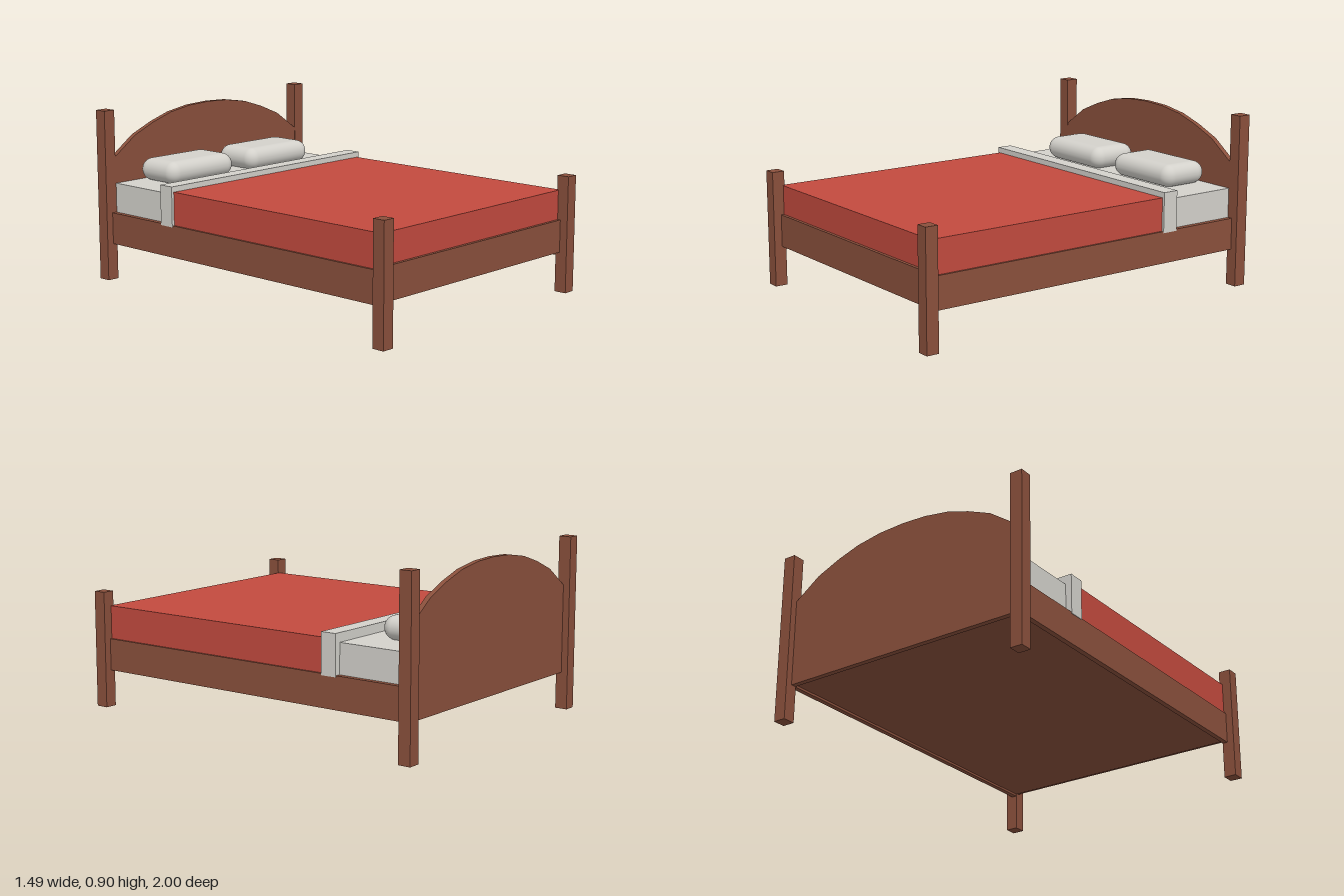
import * as THREE from 'three';
import { RoundedBoxGeometry } from 'three/addons/geometries/RoundedBoxGeometry.js';

export function createModel() {
  const material = (name, color) => {
    const m = new THREE.MeshStandardMaterial({ color });
    m.name = name;
    return m;
  };
  const wood = material('brown wood', 0x8a503c);
  const red = material('red blanket', 0xc24a3e);
  const linen = material('white linen', 0xd3d1cb);

  const bed = new THREE.Group();
  bed.name = 'bed';

  const add = (name, geometry, mat) => {
    const mesh = new THREE.Mesh(geometry, mat);
    mesh.name = name;
    bed.add(mesh);
    return mesh;
  };
  // Box given by its limits on each axis
  const box = (name, mat, [x0, x1], [y0, y1], [z0, z1]) =>
    add(name, new THREE.BoxGeometry(x1 - x0, y1 - y0, z1 - z0), mat)
      .position.set((x0 + x1) / 2, (y0 + y1) / 2, (z0 + z1) / 2);

  // Corner posts, side rails and pillows, mirrored
  for (const [side, s] of [['left', 1], ['right', -1]]) {
    const span = (a, b) => (s > 0 ? [a, b] : [-b, -a]);
    box(side + 'FrontPost', wood, span(0.677, 0.743), [0, 0.61], [0.933, 1]);
    box(side + 'BackPost', wood, span(0.677, 0.743), [0, 0.905], [-1, -0.933]);
    box(side + 'SideRail', wood, span(0.678, 0.705), [0.193, 0.36], [-0.95, 0.95]);

    const pillow = add(side + 'Pillow', new RoundedBoxGeometry(0.46, 0.12, 0.275, 6, 0.059), linen);
    pillow.position.set(s > 0 ? 0.28 : -0.295, 0.572, -0.793);
  }

  // Footboard and the panel under the mattress
  box('footboard', wood, [-0.69, 0.69], [0.21, 0.38], [0.93, 0.957]);
  box('basePanel', wood, [-0.68, 0.68], [0.205, 0.25], [-0.94, 0.935]);

  // Arched headboard
  const arch = [[0.69, 0.645], [0.535, 0.755], [0.405, 0.81], [0.28, 0.85], [0.14, 0.873]];
  const outline = [
    [-0.69, 0.193], [0.69, 0.193], ...arch, [0, 0.879],
    ...arch.map(([x, y]) => [-x, y]).reverse(),
  ].map(([x, y]) => new THREE.Vector2(x, y));
  add('headboard', new THREE.ExtrudeGeometry(new THREE.Shape(outline), {
    depth: 0.028, bevelEnabled: false,
  }), wood).position.z = -0.964;

  // Mattress and bedding
  box('mattress', linen, [-0.675, 0.675], [0.25, 0.515], [-0.934, 0.925]);
  box('blanket', red, [-0.694, 0.694], [0.26, 0.533], [-0.48, 0.94]);
  box('foldedSheet', linen, [-0.708, 0.708], [0.352, 0.562], [-0.546, -0.46]);

  return bed;
}
